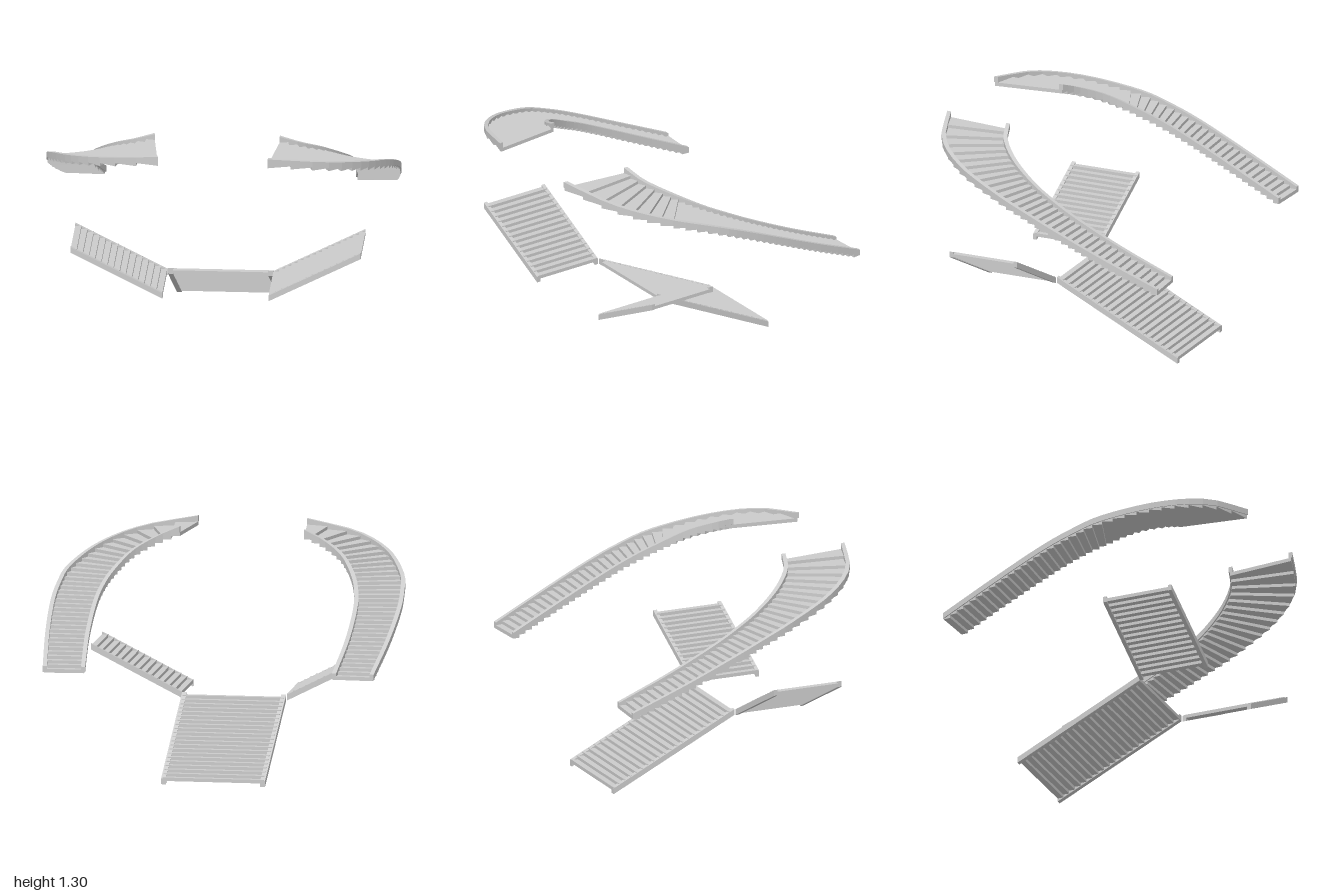
import * as THREE from 'three';

const material = new THREE.MeshStandardMaterial({ color: 0xcccccc, flatShading: true });
const V = (x, y, z) => new THREE.Vector3(x, y, z);

// Closed solid through a row of four-cornered cross-sections
function loft(sections) {
  const tris = [];
  const quad = (a, b, c, d) => tris.push([a, b, c], [a, c, d]);
  for (let i = 0; i < sections.length - 1; i++) {
    for (let k = 0; k < 4; k++) {
      const n = (k + 1) % 4;
      quad(sections[i][k], sections[i][n], sections[i + 1][n], sections[i + 1][k]);
    }
  }
  const first = sections[0], last = sections[sections.length - 1];
  quad(first[3], first[2], first[1], first[0]);
  quad(last[0], last[1], last[2], last[3]);
  // turn the faces outward whichever way the sections run
  const volume = tris.reduce((s, [a, b, c]) => s + a.dot(b.clone().cross(c)), 0);
  if (volume < 0) tris.forEach((t) => t.reverse());
  const geometry = new THREE.BufferGeometry().setFromPoints(tris.flat());
  geometry.computeVertexNormals();
  return geometry;
}

// Upright rectangle spanning a to b, from bottom to top
const section = (a, b, bottom, top) => [
  V(a.x, bottom, a.z), V(b.x, bottom, b.z), V(b.x, top, b.z), V(a.x, top, a.z)];

// A flight between two rising edge curves that share their heights
function flight(name, edgeA, edgeB, steps, railWidth, treadBottom, treadTop) {
  const group = new THREE.Group();
  group.name = name;
  const add = (part, geometry) => {
    const mesh = new THREE.Mesh(geometry, material);
    mesh.name = part;
    group.add(mesh);
  };
  const y0 = edgeA.getPoint(0).y, y1 = edgeA.getPoint(1).y;

  // edge points and rail inner faces at each equal rise
  const stations = [];
  for (let i = 0; i <= steps; i++) {
    const y = y0 + ((y1 - y0) * i) / steps;
    let lo = 0, hi = 1;
    for (let k = 0; k < 30; k++) {
      const mid = (lo + hi) / 2;
      if (edgeA.getPoint(mid).y < y) lo = mid; else hi = mid;
    }
    const a = edgeA.getPoint(lo), b = edgeB.getPoint(lo);
    const across = b.clone().sub(a).setY(0).setLength(railWidth);
    stations.push({ y, a, b, aIn: a.clone().add(across), bIn: b.clone().sub(across) });
  }

  // side stringers
  const half = 0.017;
  add('stringer', loft(stations.map((s) => section(s.a, s.aIn, s.y - half, s.y + half))));
  add('stringer', loft(stations.map((s) => section(s.bIn, s.b, s.y - half, s.y + half))));

  // level treads, reaching a little into the stringers
  for (let i = 0; i < steps; i++) {
    const pair = [stations[i], stations[i + 1]].map((s) => section(
      s.a.clone().lerp(s.aIn, 0.3), s.b.clone().lerp(s.bIn, 0.3),
      stations[i].y + treadBottom, stations[i].y + treadTop));
    add('tread', loft(pair));
  }
  return group;
}

export function createModel() {
  const model = new THREE.Group();
  model.name = 'staircase';

  // central lower flight
  const mainEdge = (x) => new THREE.LineCurve3(V(x, 0.017, -0.625), V(x, 0.388, 0.125));
  model.add(flight('mainFlight', mainEdge(-0.297), mainEdge(0.297), 21, 0.028, 0.002, 0.022));

  // edges of the winding flight, as x, y, z
  const outer = [[0.945, 0.67, -0.8], [0.982, 0.81, -0.48], [1, 0.94, -0.19], [0.992, 1.02, 0],
    [0.96, 1.09, 0.19], [0.83, 1.175, 0.48], [0.62, 1.24, 0.69], [0.31, 1.288, 0.8]];
  const inner = [[0.705, 0.67, -0.787], [0.73, 0.81, -0.48], [0.732, 0.94, -0.21], [0.713, 1.02, -0.05],
    [0.672, 1.09, 0.09], [0.59, 1.175, 0.24], [0.47, 1.24, 0.35], [0.355, 1.288, 0.39]];

  for (const side of [1, -1]) {
    const label = side > 0 ? 'left' : 'right';
    // sideways middle flight
    const sideEdge = (z) => new THREE.LineCurve3(V(side * 0.3, 0.387, z), V(side * 0.82, 0.65, z));
    model.add(flight(label + 'SideFlight', sideEdge(0.13), sideEdge(0.55), 15, 0.022, 0.002, 0.022));

    // winding upper flight
    const curve = (points) => new THREE.CatmullRomCurve3(
      points.map(([x, y, z]) => V(side * x, y, z)), false, 'catmullrom', 0.5);
    model.add(flight(label + 'WindingFlight', curve(outer), curve(inner), 34, 0.024, -0.02, 0.001));
  }
  return model;
}
